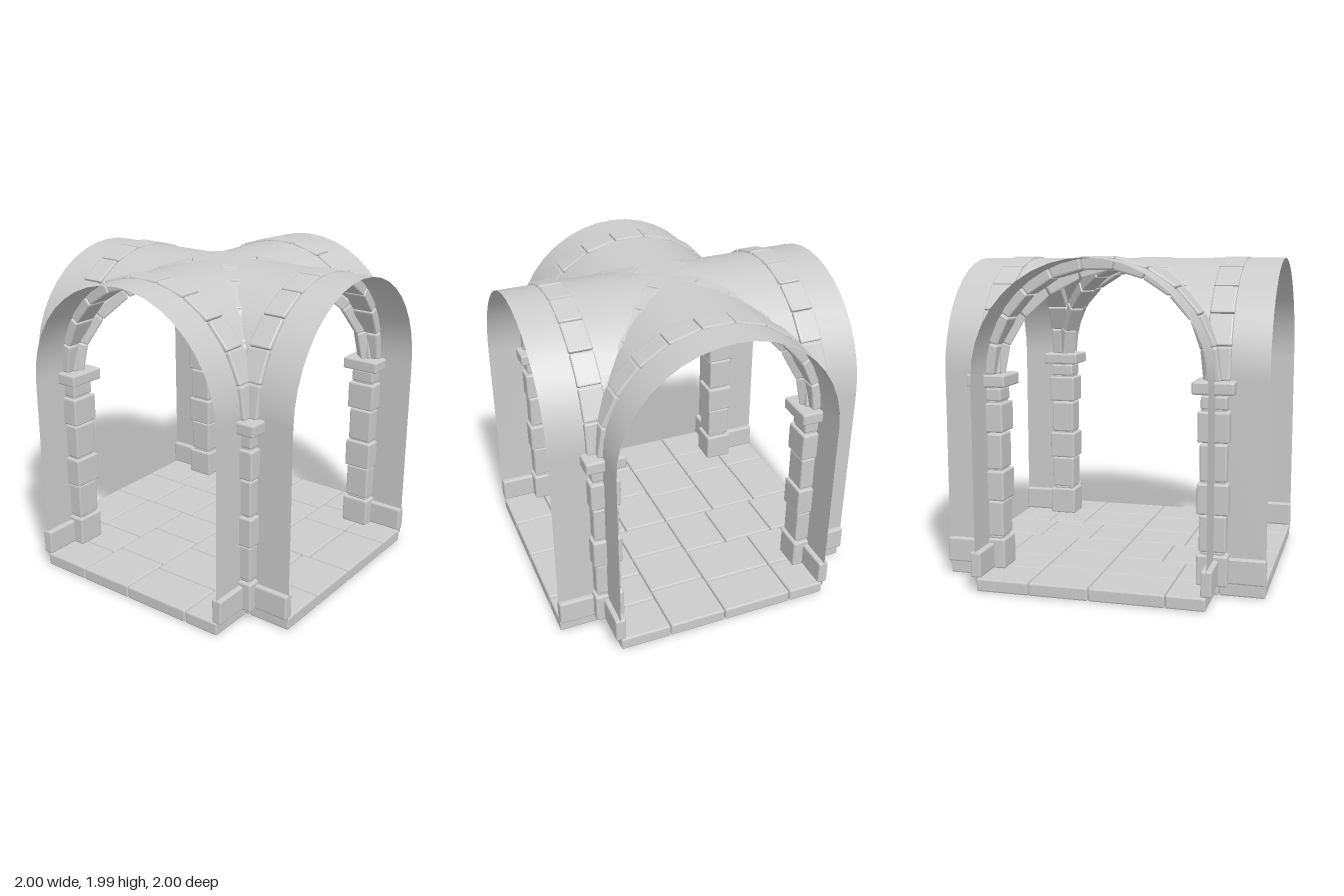
import * as THREE from 'three';
import { RoundedBoxGeometry } from 'three/addons/geometries/RoundedBoxGeometry.js';

const stone = new THREE.MeshStandardMaterial({ color: 0xcccccc });
const shell = new THREE.MeshStandardMaterial({ color: 0xcccccc, side: THREE.DoubleSide });
const R = 0.7;        // half width of each arm and radius of its vault
const SPRING = 1.28;  // height where walls turn into vaults

// Chamfered stone; taper narrows the lower side along x
function block(name, w, h, d, x, y, z, taper = 0, bevel = 0.01) {
  const geo = new RoundedBoxGeometry(w, h, d, 1, bevel);
  if (taper) {
    const p = geo.attributes.position;
    for (let i = 0; i < p.count; i++) {
      p.setX(i, p.getX(i) * (1 - taper * (0.5 - p.getY(i) / h) / w));
    }
  }
  geo.computeVertexNormals();
  const mesh = new THREE.Mesh(geo, stone);
  mesh.name = name;
  mesh.position.set(x, y, z);
  return mesh;
}

// Wedge stones laid as chords of a half ellipse with radii a and b
function arch(name, a, b, thick, depth, degrees) {
  const group = new THREE.Group();
  group.name = name;
  const edges = [...degrees.map(v => -v).reverse(), ...degrees];
  const at = v => {
    const t = THREE.MathUtils.degToRad(v);
    return new THREE.Vector2(a * Math.sin(t), SPRING + b * Math.cos(t));
  };
  for (let i = 0; i < edges.length - 1; i++) {
    const p = at(edges[i]), q = at(edges[i + 1]);
    const dir = q.clone().sub(p), len = dir.length();
    const tilt = Math.atan2(dir.y, dir.x);
    const mid = p.add(q).multiplyScalar(0.5);
    const taper = thick * len / ((a + b) / 2);
    const stoneMesh = block('archStone', len - 0.006, thick, depth,
      mid.x + Math.sin(tilt) * thick / 2, mid.y - Math.cos(tilt) * thick / 2, 0, taper);
    stoneMesh.rotation.z = tilt;
    group.add(stoneMesh);
  }
  return group;
}

// One arm: side walls and a barrel vault cut along the diagonals
function vaultArm() {
  const profile = [[-R, 0.06], [-R, SPRING]];
  const segs = 20;
  for (let i = 1; i < segs; i++) {
    const t = Math.PI * i / segs;
    profile.push([-R * Math.cos(t), SPRING + R * Math.sin(t)]);
  }
  profile.push([R, SPRING], [R, 0.06]);
  const pos = [], index = [];
  profile.forEach(([x, y], i) => {
    pos.push(x, y, Math.abs(x), x, y, 1);
    if (i) {
      const k = i * 2;
      index.push(k - 2, k - 1, k, k, k - 1, k + 1);
    }
  });
  const geo = new THREE.BufferGeometry();
  geo.setAttribute('position', new THREE.Float32BufferAttribute(pos, 3));
  geo.setIndex(index);
  geo.computeVertexNormals();
  const mesh = new THREE.Mesh(geo, shell);
  mesh.name = 'vaultArm';
  return mesh;
}

// Stacked pillar: [width, bottom, top] of each stone
function pillar() {
  const group = new THREE.Group();
  group.name = 'pillar';
  const courses = [
    [0.185, 0.08, 0.265], [0.14, 0.26, 0.285], [0.16, 0.28, 0.5],
    [0.185, 0.505, 0.69], [0.14, 0.68, 0.71], [0.16, 0.7, 0.92],
    [0.185, 0.93, 1.11], [0.14, 1.1, 1.13], [0.155, 1.12, 1.2],
    [0.14, 1.19, 1.22], [0.245, 1.21, 1.285],
  ];
  courses.forEach(([w, y0, y1], i) => {
    const name = i === courses.length - 1 ? 'capital' : 'pillarStone';
    group.add(block(name, w, y1 - y0, w, 0, (y0 + y1) / 2, 0));
  });
  group.position.set(0.69, 0, 0.69);
  return group;
}

// A quarter of the cross-shaped paving: [z start, z end, x joints]
function paving() {
  const group = new THREE.Group();
  group.name = 'paving';
  const rows = [
    [0, 0.37, [0, 0.3, 0.65, 1]],
    [0.37, R, [0, 0.46, 0.72, 1]],
    [R, 1, [0, 0.46, R]],
  ];
  for (const [z0, z1, xs] of rows) {
    for (let i = 0; i < xs.length - 1; i++) {
      group.add(block('floorTile', xs[i + 1] - xs[i] - 0.006, 0.08, z1 - z0 - 0.006,
        (xs[i] + xs[i + 1]) / 2, 0.04, (z0 + z1) / 2));
    }
  }
  return group;
}

export function createModel() {
  const model = new THREE.Group();
  model.name = 'crossVault';
  const evenJoints = [0.5, 1.5, 2.5, 3.5, 4.5, 5.5].map(k => k * 180 / 11);

  // Four identical quarters turned about the centre
  for (let i = 0; i < 4; i++) {
    const quarter = new THREE.Group();
    quarter.name = 'quarter';
    const sideArch = arch('sideArch', 0.73, 0.715, 0.078, 0.145, evenJoints);
    sideArch.position.z = 0.703;
    quarter.add(vaultArm(), sideArch, pillar(), paving());
    // Skirting stones on both walls beside the pillar
    quarter.add(block('skirting', 0.24, 0.155, 0.065, 0.88, 0.162, 0.698));
    quarter.add(block('skirting', 0.065, 0.155, 0.24, 0.698, 0.162, 0.88));
    quarter.rotation.y = i * Math.PI / 2;
    model.add(quarter);
  }

  // Two diagonal ribs crossing under the groins
  for (const turn of [1, -1]) {
    const rib = arch('diagonalRib', R * Math.SQRT2, 0.712, 0.08, 0.1, [12, 25, 41, 57, 73.6, 90]);
    rib.rotation.y = turn * Math.PI / 4;
    model.add(rib);
  }
  return model;
}
